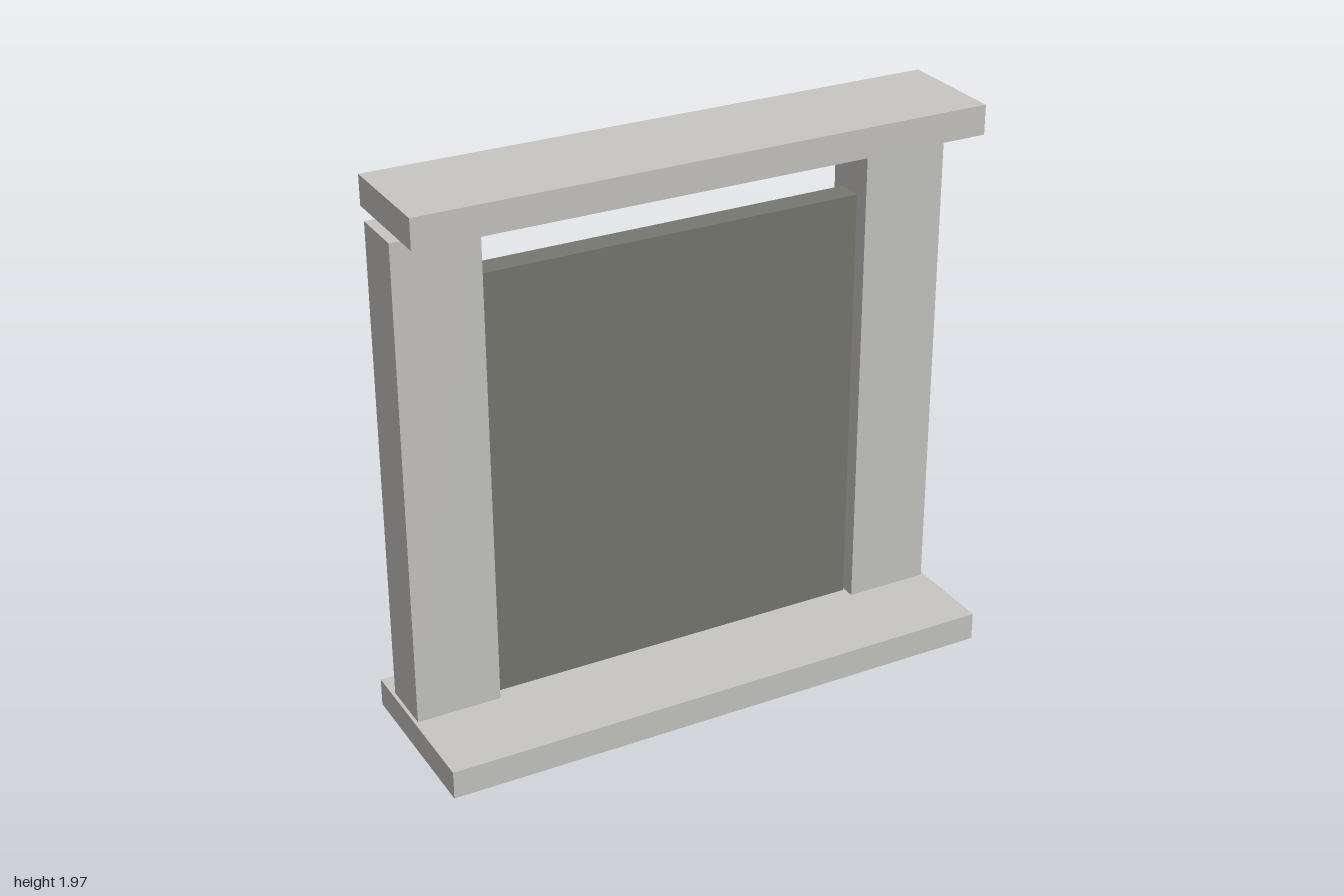
import * as THREE from 'three';

export function createModel() {
  const model = new THREE.Group();
  model.name = 'fireplaceSurround';

  const stone = new THREE.MeshStandardMaterial({ color: 0xc8c7c2 });
  stone.name = 'paleStone';
  const slate = new THREE.MeshStandardMaterial({ color: 0x777871 });
  slate.name = 'darkSlate';

  // Box given by its minimum and maximum corners
  const block = (name, material, min, max) => {
    const size = max.map((v, i) => v - min[i]);
    const mesh = new THREE.Mesh(new THREE.BoxGeometry(...size), material);
    mesh.position.set(...max.map((v, i) => (v + min[i]) / 2));
    mesh.name = name;
    model.add(mesh);
  };

  // Base slab and floating top slab
  block('base', stone, [-1, 0, -0.305], [1, 0.1, 0.305]);
  block('lintel', stone, [-1, 1.863, -0.197], [1, 1.965, 0.197]);

  // Side posts, set back from the centre line
  block('leftPost', stone, [0.69, 0.1, -0.206], [0.988, 1.807, -0.01]);
  block('rightPost', stone, [-0.988, 0.1, -0.206], [-0.69, 1.807, -0.01]);

  // Thin infill panel between the posts
  block('panel', slate, [-0.678, 0.104, -0.138], [0.678, 1.63, -0.048]);

  return model;
}
